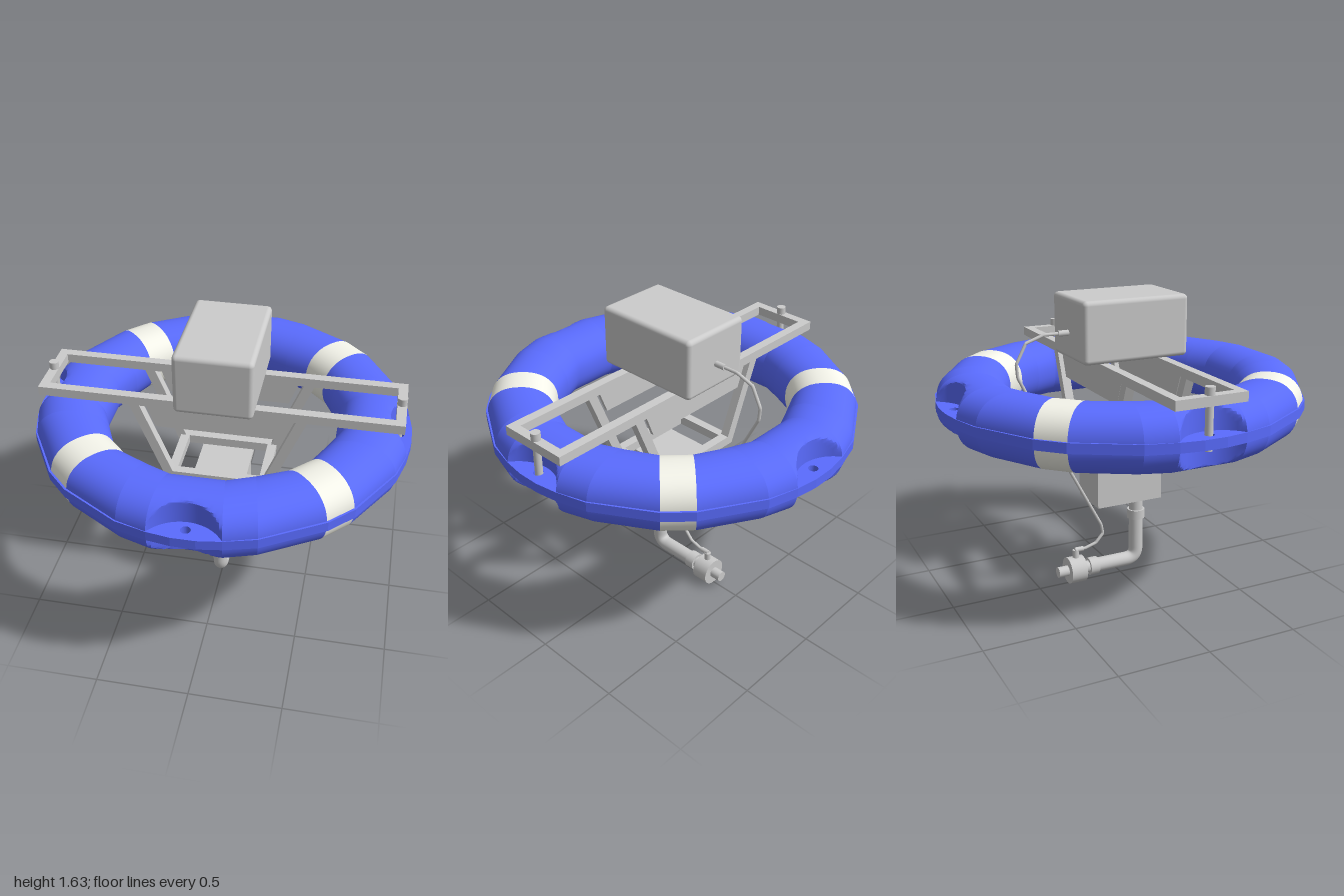
import * as THREE from 'three';
import { toCreasedNormals } from 'three/addons/utils/BufferGeometryUtils.js';
import { RoundedBoxGeometry } from 'three/addons/geometries/RoundedBoxGeometry.js';

const grey = new THREE.MeshStandardMaterial({ color: 0xcccccc });
const blue = new THREE.MeshStandardMaterial({ color: 0x5a6cff });
const white = new THREE.MeshStandardMaterial({ color: 0xf4f4ea });
const MID_Y = 1.083;

export function createModel() {
  const root = new THREE.Group();

  const add = (name, geo, mat = grey, parent = root) => {
    const m = new THREE.Mesh(geo, mat);
    m.name = name;
    parent.add(m);
    return m;
  };
  // Box given by its min and max corners
  const box = (name, x0, x1, y0, y1, z0, z1) =>
    add(name, new THREE.BoxGeometry(x1 - x0, y1 - y0, z1 - z0)
      .translate((x0 + x1) / 2, (y0 + y1) / 2, (z0 + z1) / 2));
  const cylY = (name, r, x, y0, y1, z, n = 24) =>
    add(name, new THREE.CylinderGeometry(r, r, y1 - y0, n).translate(x, (y0 + y1) / 2, z));
  const cylZ = (name, r, y, z0, z1, n = 24) =>
    add(name, new THREE.CylinderGeometry(r, r, z1 - z0, n).rotateX(Math.PI / 2).translate(0, y, (z0 + z1) / 2));
  // Flat outline in x/y, given a thickness around z
  const plate = (name, pts, z, depth) => {
    const s = new THREE.Shape(pts.map(p => new THREE.Vector2(...p)));
    return add(name, new THREE.ExtrudeGeometry(s, { depth, bevelEnabled: false }).translate(0, 0, z - depth / 2));
  };

  // Float ring: sections between an inner and an outer corner, [xi, zi, xo, zo]
  const A = [0.61, -0.13, 0.98, -0.18], B = [0.61, 0.13, 0.98, 0.18];
  const C = [0.553, 0.26, 0.932, 0.337], D = [0.495, 0.385, 0.753, 0.635];
  const E = [0.385, 0.495, 0.635, 0.753], F = [0.26, 0.553, 0.337, 0.932];
  const G = [0.13, 0.61, 0.18, 0.98];
  const rounded = v => Math.sign(v) * Math.pow(Math.abs(v), 0.88);
  function ringSegment(from, to, steps, notched) {
    const N = 48, pos = [], idx = [];
    for (let s = 0; s <= steps; s++) {
      const k = from.map((v, i) => v + (to[i] - v) * s / steps);
      for (let j = 0; j <= N; j++) {
        const a = j / N * Math.PI * 2;
        const t = 0.5 + 0.5 * rounded(Math.cos(a));
        let x = k[0] + (k[2] - k[0]) * t;
        const z = k[1] + (k[3] - k[1]) * t;
        // upright scallop cut out of the rim
        if (notched) x = Math.min(x, 1.09 - Math.sqrt(Math.max(0, 0.0441 - z * z)));
        pos.push(x, MID_Y + 0.165 * rounded(Math.sin(a)), z);
        if (s < steps && j < N) {
          const p = s * (N + 1) + j, q = p + N + 1;
          idx.push(p, p + 1, q, p + 1, q + 1, q);
        }
      }
    }
    const g = new THREE.BufferGeometry();
    g.setAttribute('position', new THREE.Float32BufferAttribute(pos, 3));
    g.setIndex(idx);
    return toCreasedNormals(g, 0.6);
  }
  for (let q = 0; q < 4; q++) {
    const quarter = new THREE.Group();
    quarter.name = 'floatQuarter';
    quarter.rotation.y = q * Math.PI / 2;
    root.add(quarter);
    add('notchedFloat', ringSegment(A, B, 24, true), blue, quarter);
    for (const [p, r] of [[B, C], [C, D], [E, F], [F, G]])
      add('floatSection', ringSegment(p, r, 1, false), blue, quarter);
    add('whiteBand', ringSegment(D, E, 2, false), white, quarter);
  }

  // Thin fin around the middle of the ring, with eyelets in the notches
  const rim = [[1, -0.06], [1, 0.06], [0.982, 0.18], [0.938, 0.34], [0.76, 0.642], [0.642, 0.76], [0.34, 0.938], [0.18, 0.982]];
  const outline = [];
  for (let q = 0; q < 4; q++)
    for (const [x, y] of rim)
      outline.push(new THREE.Vector2(x, y).rotateAround(new THREE.Vector2(), q * Math.PI / 2));
  const fin = new THREE.Shape(outline);
  fin.holes.push(new THREE.Path().absarc(0, 0, 0.8, 0, Math.PI * 2, true));
  for (let q = 0; q < 4; q++) {
    const a = q * Math.PI / 2;
    fin.holes.push(new THREE.Path().absarc(0.935 * Math.cos(a), 0.935 * Math.sin(a), 0.025, 0, Math.PI * 2, true));
  }
  add('rimFin', new THREE.ExtrudeGeometry(fin, { depth: 0.052, bevelEnabled: false, curveSegments: 20 })
    .rotateX(Math.PI / 2).translate(0, 1.11, 0), blue);

  // Carrier frame, hanging cradle and mounting posts
  for (const s of [-1, 1]) {
    const z = s * 0.17;
    box('frameRail', -0.955, 0.955, 1.25, 1.3, z - 0.025, z + 0.025);
    box('frameEnd', s * 0.93 - 0.025, s * 0.93 + 0.025, 1.25, 1.3, -0.145, 0.145);
    box('cradleRail', -0.28, 0.28, 0.79, 0.84, z - 0.025, z + 0.025);
    box('cradleCrossbar', s * 0.25 - 0.025, s * 0.25 + 0.025, 0.79, 0.84, -0.145, 0.145);
    plate('sidePlate', [[-0.33, 1.12], [0.33, 1.12], [0.38, 1.25], [-0.38, 1.25]], z, 0.02);
    for (const t of [-1, 1]) {
      const pts = [[0.225, 0.79], [0.28, 0.79], [0.465, 1.25], [0.41, 1.25]].map(([x, y]) => [t * x, y]);
      plate('cradleLeg', pts, z, 0.05);
    }
    cylY('mountingPost', 0.02, s * 0.93, 1.03, 1.3, 0);
    cylY('postCap', 0.025, s * 0.93, 1.25, 1.34, 0);
  }

  // Control housing on top
  add('controlHousing', new RoundedBoxGeometry(0.41, 0.33, 0.605, 4, 0.025).translate(0, 1.47, 0));

  // Pump housing below
  box('pumpFlange', -0.145, 0.145, 0.766, 0.79, -0.16, 0.16);
  plate('pumpHousing', [[-0.125, 0.48], [0.125, 0.48], [0.125, 0.685], [0.11, 0.7], [0.085, 0.705],
    [0.085, 0.767], [-0.085, 0.767], [-0.085, 0.705], [-0.11, 0.7], [-0.125, 0.685]], 0, 0.39);

  // Outlet pipe with elbow
  const path = new THREE.CurvePath();
  const v = (y, z) => new THREE.Vector3(0, y, z);
  path.add(new THREE.LineCurve3(v(0.48, 0.1), v(0.15, 0.1)));
  path.add(new THREE.QuadraticBezierCurve3(v(0.15, 0.1), v(0.082, 0.1), v(0.082, 0.03)));
  path.add(new THREE.LineCurve3(v(0.082, 0.03), v(0.082, -0.16)));
  add('outletPipe', new THREE.TubeGeometry(path, 60, 0.04, 24));
  cylY('pipeCollar', 0.05, 0, 0.333, 0.386, 0.1);
  cylZ('endCollar', 0.05, 0.082, -0.203, -0.15);
  cylZ('nozzleNeck', 0.035, 0.082, -0.24, -0.2);
  cylZ('nozzleBody', 0.075, 0.082, -0.33, -0.237, 32);
  cylZ('nozzleTip', 0.03, 0.082, -0.39, -0.33);

  // Cable from the housing down to the nozzle
  cylY('nozzleFitting', 0.018, 0, 0.15, 0.2, -0.28, 16);
  cylZ('cablePlug', 0.014, 0.2, -0.285, -0.235, 16);
  cylZ('housingPlug', 0.016, 1.445, -0.36, -0.295, 16);
  const cable = new THREE.CurvePath();
  const pts = [[1.445, -0.35], [1.445, -0.44], [1.41, -0.54], [1.305, -0.595], [1.235, -0.59], [0.92, -0.435],
    [0.325, -0.12], [0.27, -0.11], [0.22, -0.155], [0.2, -0.22], [0.2, -0.26]].map(p => v(...p));
  for (let i = 1; i < pts.length; i++) cable.add(new THREE.LineCurve3(pts[i - 1], pts[i]));
  add('cable', new THREE.TubeGeometry(cable, 160, 0.009, 8));

  return root;
}
